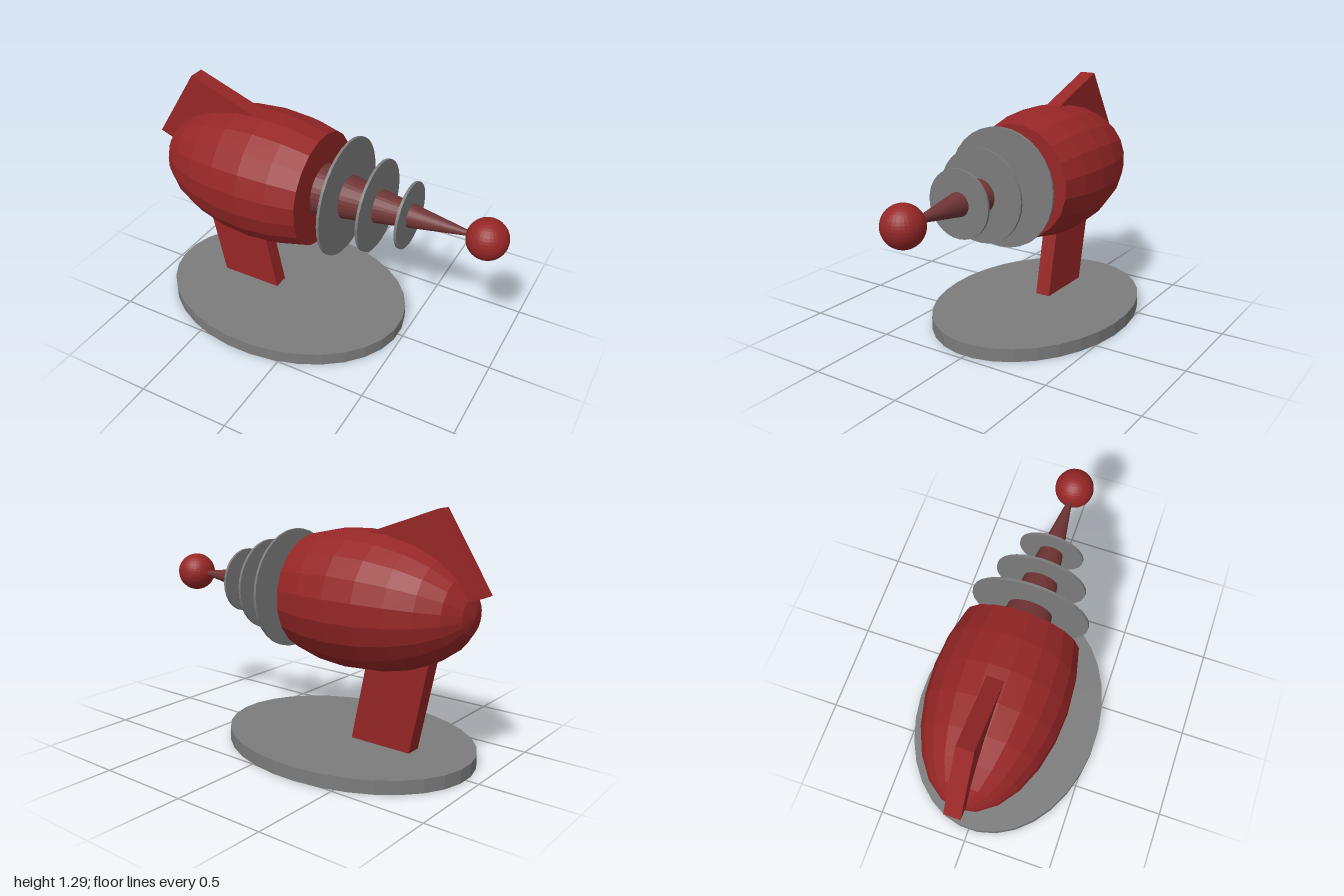
import * as THREE from 'three';

const AXIS_Y = 0.81; // height of the barrel axis

export function createModel() {
  const model = new THREE.Group();
  model.name = 'toyRayGun';

  const material = (name, color, flatShading = false) => {
    const m = new THREE.MeshStandardMaterial({ color, flatShading });
    m.name = name;
    return m;
  };
  const red = material('red', 0x962626, true);
  const grey = material('grey', 0x7c7c7c, true);
  const dullRed = material('dullRed', 0x713535, true);

  const add = (name, geometry, mat, x = 0, y = 0) => {
    const mesh = new THREE.Mesh(geometry, mat);
    mesh.name = name;
    mesh.position.set(x, y, 0);
    model.add(mesh);
    return mesh;
  };

  // Flat slab cut from a side outline, centred on z = 0
  const slab = (outline, depth) => {
    const shape = new THREE.Shape(outline.map(([x, y]) => new THREE.Vector2(x, y)));
    return new THREE.ExtrudeGeometry(shape, { depth, bevelEnabled: false }).translate(0, 0, -depth / 2);
  };

  // Oval base; the grip's foot shows through its underside
  const base = new THREE.CylinderGeometry(1, 1, 0.071, 32, 1, false, Math.PI / 32);
  base.scale(0.703, 1, 0.528);
  add('base', base, grey, -0.23, 0.0365);

  // Leaning grip and rear fin
  add('grip', slab([[-0.615, 0], [-0.265, 0], [-0.38, 0.56], [-0.73, 0.56]], 0.086), red);
  add('rearFin', slab([[-1, 0.91], [-0.5, 0.73], [-0.25, 1.112], [-0.755, 1.295]], 0.086), red);

  // Faceted egg-shaped body, cut flat at the front
  const profile = [];
  for (let i = 0; i <= 8; i++) {
    const a = THREE.MathUtils.degToRad(-90 + i * 15);
    profile.push(new THREE.Vector2(Math.max(0, 0.355 * Math.cos(a)), 0.63 * Math.sin(a)));
  }
  profile.push(new THREE.Vector2(0, profile[8].y));
  const body = new THREE.LatheGeometry(profile, 20, Math.PI / 20).rotateZ(-Math.PI / 2);
  add('body', body, red, -0.315, AXIS_Y);

  // Tapered barrel and ball tip
  const barrel = new THREE.ConeGeometry(0.14, 0.89, 32).rotateZ(-Math.PI / 2);
  add('barrel', barrel, dullRed, 0.445, AXIS_Y);
  add('ballTip', new THREE.SphereGeometry(0.105, 32, 20), red, 0.895, AXIS_Y);

  // Three shrinking discs along the barrel
  [[0.14, 0.316], [0.315, 0.244], [0.49, 0.175]].forEach(([x, r], i) => {
    const disc = new THREE.CylinderGeometry(r, r, 0.014, 32).rotateZ(-Math.PI / 2);
    add('barrelDisc' + (i + 1), disc, grey, x, AXIS_Y);
  });

  return model;
}
